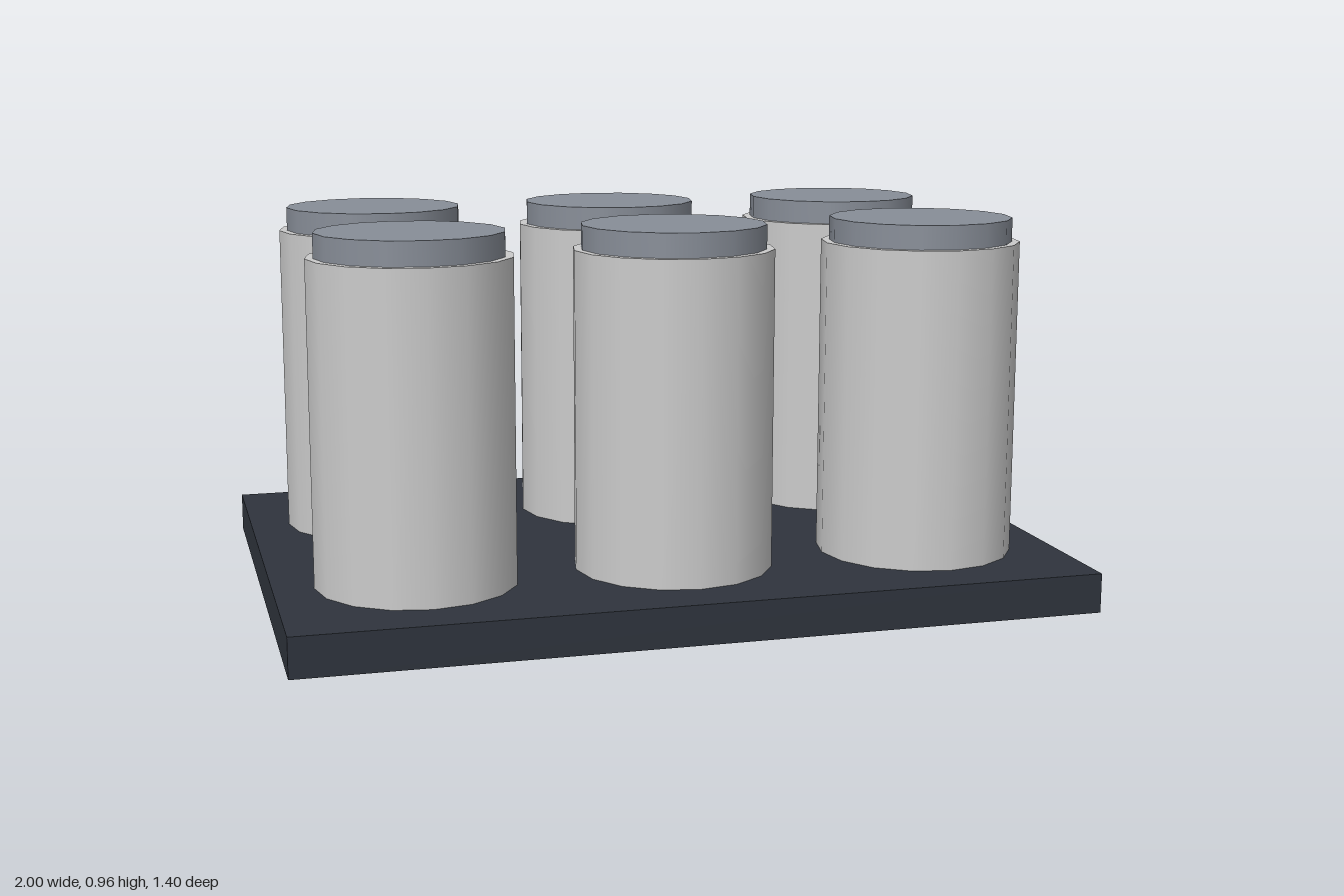
import * as THREE from 'three';

const SIDES = 16;

export function createModel() {
  const model = new THREE.Group();
  model.name = 'canisterTray';

  const trayMat = new THREE.MeshStandardMaterial({ color: 0x2f343d });
  const bodyMat = new THREE.MeshStandardMaterial({ color: 0xcccccc });
  const lidMat = new THREE.MeshStandardMaterial({ color: 0x888e98 });

  const add = (parent, name, geometry, material, y) => {
    const mesh = new THREE.Mesh(geometry, material);
    mesh.name = name;
    mesh.position.y = y;
    parent.add(mesh);
  };

  // Flat base slab
  add(model, 'tray', new THREE.BoxGeometry(2, 0.1, 1.4), trayMat, 0.05);

  // Two rows of three canisters, each with a narrower lid
  const bodyGeo = new THREE.CylinderGeometry(0.25, 0.25, 0.8, SIDES);
  const lidGeo = new THREE.CylinderGeometry(0.23, 0.23, 0.06, SIDES);
  for (const z of [-0.325, 0.325]) {
    for (const x of [-0.65, 0, 0.65]) {
      const canister = new THREE.Group();
      canister.name = 'canister';
      canister.position.set(x, 0, z);
      add(canister, 'canisterBody', bodyGeo, bodyMat, 0.5);
      add(canister, 'canisterLid', lidGeo, lidMat, 0.93);
      model.add(canister);
    }
  }
  return model;
}
